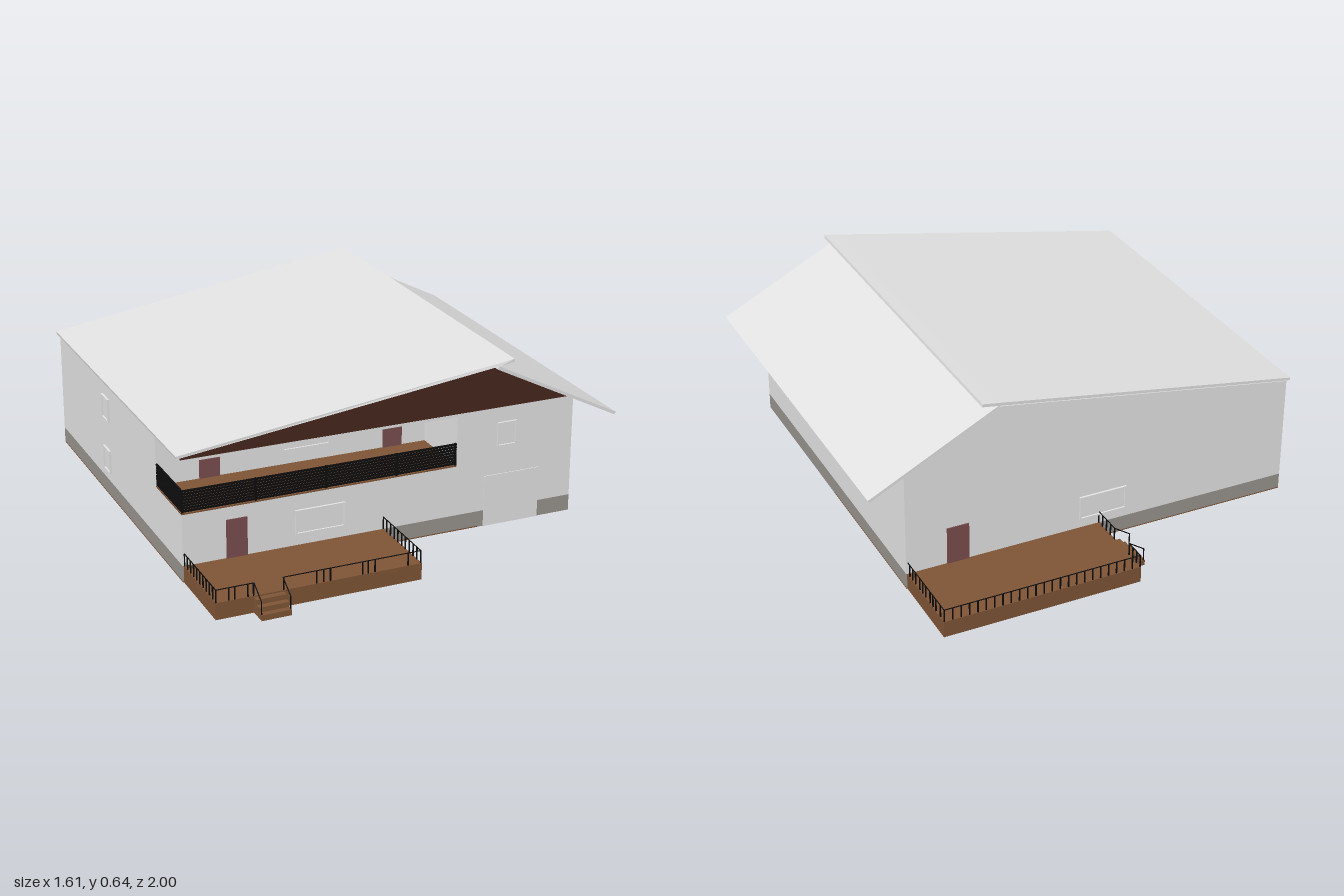
import * as THREE from 'three';

const mat = (name, color) => {
  const m = new THREE.MeshStandardMaterial({ color });
  m.name = name;
  return m;
};

export function createModel() {
  const white = mat('white plaster', 0xe4e4e4);
  const roofGrey = mat('pale roof', 0xe2e2e2);
  const stone = mat('plinth grey', 0x98948e);
  const wood = mat('deck brown', 0x7f5436);
  const darkWood = mat('dark gable wood', 0x46281f);
  const doorRed = mat('door red brown', 0x7a4d4e);
  const black = mat('railing black', 0x0c0c0c);

  const house = new THREE.Group();
  house.name = 'house';

  // Box from its minimum and maximum corners
  const box = (name, m, x0, x1, y0, y1, z0, z1, parent = house) => {
    const mesh = new THREE.Mesh(new THREE.BoxGeometry(x1 - x0, y1 - y0, z1 - z0), m);
    mesh.position.set((x0 + x1) / 2, (y0 + y1) / 2, (z0 + z1) / 2);
    mesh.name = name;
    parent.add(mesh);
    return mesh;
  };
  const group = (name) => {
    const g = new THREE.Group();
    g.name = name;
    house.add(g);
    return g;
  };

  const L = -0.79, R = 0.675, B = -0.70, F = 0.64;

  // Underside and plinth
  box('groundSlab', wood, L, 0.31, 0, 0.004, B, F);
  box('groundSlabRear', wood, 0.31, R, 0, 0.004, B, -0.04);
  box('garageFloor', stone, 0.31, R, 0, 0.004, -0.04, F);
  box('plinth', stone, L, R, 0.004, 0.06, B, F);
  box('garageDoor', white, 0.33, 0.545, 0, 0.19, F, F + 0.003);

  // Walls, with an open balcony cut into the front corner
  const LZ = 0.39, LX = 0.22;
  box('groundFloorWalls', white, L, R, 0.06, 0.245, B, F);
  box('upperWalls', white, L, R, 0.245, 0.44, B, LZ);
  box('upperFrontWall', white, LX, R, 0.245, 0.44, LZ, F);
  box('balconyLintel', white, L, LX, 0.43, 0.44, LZ, F);
  box('balconyFloor', wood, L, LX, 0.245, 0.25, LZ, F);

  // Extrude an outline in x,y along z
  const prism = (name, m, pts, z0, z1) => {
    const shape = new THREE.Shape(pts.map(([x, y]) => new THREE.Vector2(x, y)));
    const g = new THREE.ExtrudeGeometry(shape, { depth: z1 - z0, bevelEnabled: false });
    g.translate(0, 0, z0);
    const mesh = new THREE.Mesh(g, m);
    mesh.name = name;
    house.add(mesh);
    return mesh;
  };
  const gable = [[L, 0.44], [R, 0.44], [0.33, 0.622], [L, 0.445]];
  prism('atticAndRearGable', white, gable, B, F - 0.006);
  prism('frontGable', darkWood, gable, F - 0.006, F);

  // Roof slabs; the long one widens towards the ridge at the front
  const long = prism('longRoofSlab', roofGrey,
    [[-0.803, 0.445], [0.34, 0.626], [0.392, 0.634], [0.39, 0.645], [0.338, 0.637], [-0.805, 0.455]], B, 0.72);
  const p = long.geometry.attributes.position;
  for (let i = 0; i < p.count; i++) {
    if (p.getZ(i) > 0) p.setZ(i, F + 0.08 * Math.min(1, (p.getX(i) + 0.805) / 1.143));
  }
  long.geometry.computeVertexNormals();
  prism('shortRoofSlab', roofGrey, [[0.326, 0.615], [0.798, 0.377], [0.803, 0.386], [0.331, 0.626]], B, 0.72);

  // Doors
  box('frontDoor', doorRed, -0.635, -0.56, 0.06, 0.2, F, F + 0.004);
  box('rearDoor', doorRed, 0.444, 0.525, 0.06, 0.2, B - 0.004, B);
  box('balconyDoorLeft', doorRed, -0.635, -0.56, 0.25, 0.39, LZ, LZ + 0.004);
  box('balconyDoorRight', doorRed, 0.055, 0.128, 0.25, 0.39, LZ, LZ + 0.004);

  // Framed windows: built flat facing +z, then turned to their wall
  const windowAt = (x, y, z, w, h, turn) => {
    const g = group('window');
    const t = 0.006, d = 0.008;
    box('windowPane', white, -w / 2, w / 2, -h / 2, h / 2, 0, 0.002, g);
    for (const s of [-1, 1]) {
      const fx = s * (w - t) / 2, fy = s * (h - t) / 2;
      box('windowFrameSide', white, fx - t / 2, fx + t / 2, -h / 2, h / 2, 0, d, g);
      box('windowFrameEdge', white, -w / 2, w / 2, fy - t / 2, fy + t / 2, 0, d, g);
    }
    g.position.set(x, y, z);
    g.rotation.y = turn;
  };
  windowAt(-0.295, 0.145, F, 0.185, 0.09, 0);
  windowAt(0.413, 0.34, F, 0.075, 0.09, 0);
  windowAt(-0.24, 0.34, LZ, 0.18, 0.08, 0);
  windowAt(R, 0.345, 0.395, 0.175, 0.09, Math.PI / 2);
  windowAt(-0.065, 0.14, B, 0.18, 0.09, Math.PI);
  for (const y of [0.14, 0.34]) windowAt(L, y, -0.145, 0.075, 0.09, -Math.PI / 2);

  // Decks with steps
  box('frontDeck', wood, -0.787, -0.055, 0, 0.06, F, 0.935);
  box('rearDeck', wood, -0.055, 0.672, 0, 0.06, -1, B);
  for (let i = 0; i < 3; i++) {
    const top = 0.055 - i * 0.0175;
    box('frontStep', wood, -0.655, -0.55, 0, top, 0.935, 0.957 + i * 0.0215);
    box('rearStep', wood, -0.075 - i * 0.02, -0.055, 0, top, -0.92, -0.815);
  }

  // Thin bar between two points
  const bar = (name, a, b, r, parent) => {
    const va = new THREE.Vector3(...a), vb = new THREE.Vector3(...b);
    const d = vb.clone().sub(va);
    const mesh = new THREE.Mesh(new THREE.BoxGeometry(r, d.length(), r), black);
    mesh.position.copy(va).add(vb).multiplyScalar(0.5);
    mesh.quaternion.setFromUnitVectors(new THREE.Vector3(0, 1, 0), d.normalize());
    mesh.name = name;
    parent.add(mesh);
  };
  const deckRails = group('deckRailings');
  const fence = (x0, z0, x1, z1, fractions) => {
    for (const f of fractions) {
      const x = x0 + (x1 - x0) * f, z = z0 + (z1 - z0) * f;
      bar('railPost', [x, 0.06, z], [x, 0.105, z], 0.004, deckRails);
    }
    bar('handrail', [x0, 0.105, z0], [x1, 0.105, z1], 0.0025, deckRails);
  };
  const even = (n) => Array.from({ length: n + 1 }, (_, i) => i / n);
  const zf = 0.932, zr = -0.997;
  fence(-0.784, F, -0.784, zf, even(10));
  fence(-0.058, F, -0.058, zf, even(10));
  fence(-0.784, zf, -0.655, zf, [0, 0.34, 0.5, 0.85, 1]);
  fence(-0.55, zf, -0.058, zf, [0, 0.235, 0.285, 0.335, 0.57, 0.61, 0.66, 0.905, 1]);
  fence(-0.052, zr, 0.669, zr, even(24));
  fence(0.669, B, 0.669, zr, [0.06, 0.14, 0.22, 0.34, 0.42, 0.5, 0.62, 0.7, 0.78, 0.9, 1]);
  fence(-0.052, zr, -0.052, -0.92, even(3));
  fence(-0.052, -0.815, -0.052, B, even(4));
  // Sloping handrails beside the steps
  for (const x of [-0.653, -0.552]) {
    bar('stepHandrail', [x, 0.105, zf], [x, 0.065, 0.997], 0.003, deckRails);
    bar('stepPost', [x, 0.02, 0.995], [x, 0.066, 0.995], 0.003, deckRails);
  }
  for (const z of [-0.918, -0.817]) {
    bar('stepHandrail', [-0.052, 0.105, z], [-0.112, 0.065, z], 0.003, deckRails);
    bar('stepPost', [-0.11, 0.02, z], [-0.11, 0.066, z], 0.003, deckRails);
  }

  // Balcony railing with horizontal bars along the front and side
  const balcony = group('balconyRailing');
  const bx = L + 0.004, bz = F - 0.004;
  for (let i = 0; i < 8; i++) {
    const y = 0.256 + i * 0.0102;
    bar('balconyBar', [bx, y, bz], [LX, y, bz], 0.0065, balcony);
    bar('balconySideBar', [bx, y, LZ], [bx, y, bz], 0.0065, balcony);
  }
  for (const x of [bx, -0.527, -0.27, -0.008, LX - 0.004]) {
    bar('balconyPost', [x, 0.25, bz], [x, 0.332, bz], 0.007, balcony);
  }
  return house;
}
